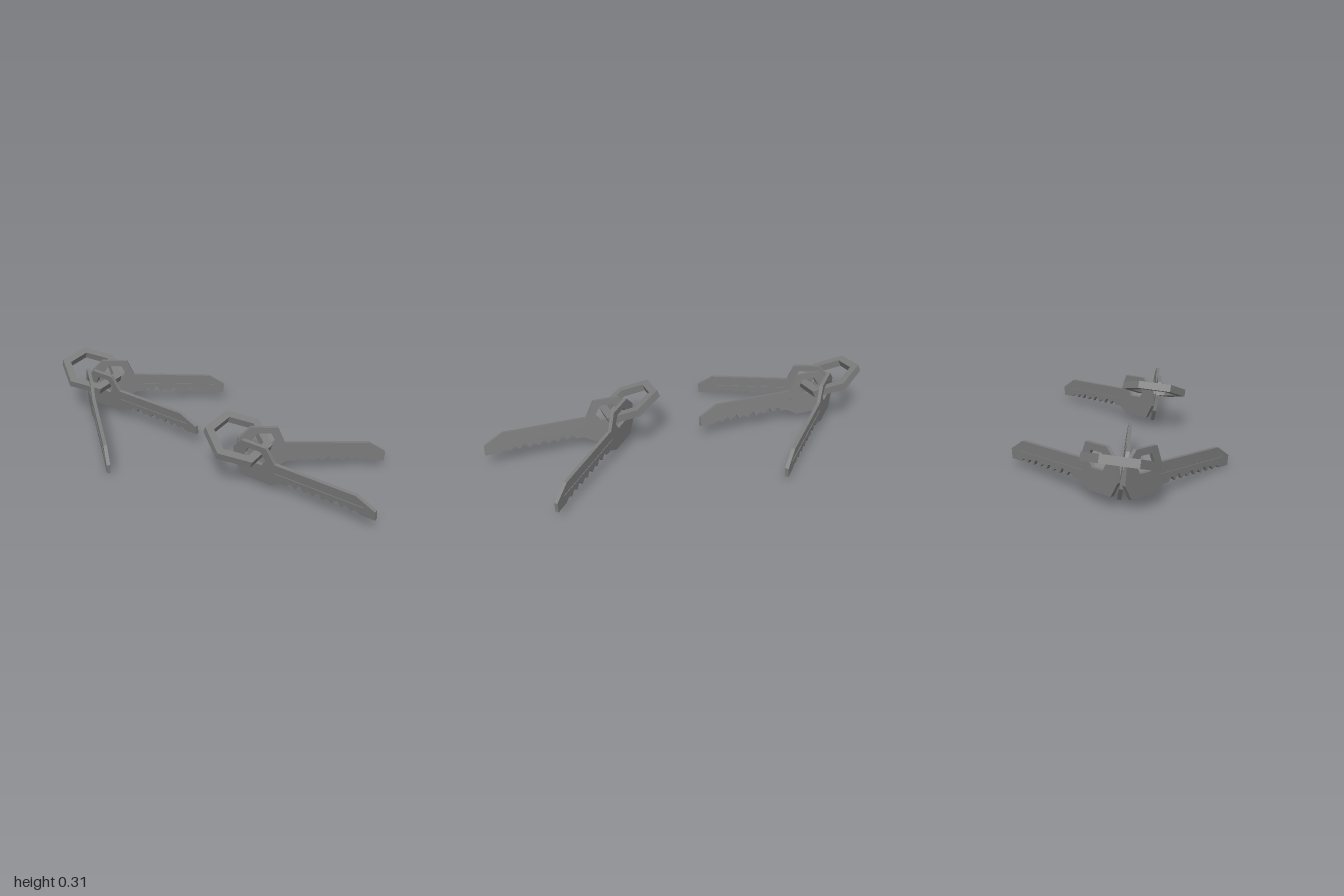
import * as THREE from 'three';

const steel = new THREE.MeshStandardMaterial({ color: 0x7c7c7c });
steel.name = 'steel grey';

const toPath = (pts, Kind) => {
  const p = new Kind();
  pts.forEach(([x, y], i) => (i ? p.lineTo(x, y) : p.moveTo(x, y)));
  p.closePath();
  return p;
};

const extrude = (shape, depth, z) => {
  const g = new THREE.ExtrudeGeometry(shape, { depth, bevelEnabled: false });
  return g.translate(0, 0, z);
};

// Key outline: bow on the left, blade towards +x, origin at the bow's left end
function keyShape(withGroove) {
  const pts = [[0, 0.05], [0, -0.04], [0.05, -0.11], [0.2, -0.11], [0.26, -0.075]];
  // irregular cuts along the blade's lower edge
  const cuts = [0.02, 0.026, 0.014, 0.024, 0.016, 0.026, 0.02, 0.014];
  cuts.forEach((d, i) => {
    const x = 0.295 + i * 0.049;
    pts.push([x, -0.075], [x + 0.018, -0.075 + d], [x + 0.03, -0.075 + d]);
  });
  pts.push([0.69, -0.075], [0.76, -0.075], [0.76, -0.025], [0.665, 0.028],
    [0.235, 0.028], [0.192, 0.11], [0.055, 0.11]);
  const shape = toPath(pts, THREE.Shape);
  // opening for the ring
  shape.holes.push(toPath([[0.065, 0.036], [0.09, 0.078], [0.16, 0.078],
    [0.185, 0.036], [0.16, -0.002], [0.09, -0.002]], THREE.Path));
  if (withGroove) {
    shape.holes.push(toPath([[0.232, -0.026], [0.232, -0.013], [0.7, -0.013], [0.7, -0.026]], THREE.Path));
  }
  return shape;
}

const coreGeometry = extrude(keyShape(false), 0.012, -0.006);
const sideGeometries = [0.006, -0.009].map((z) => extrude(keyShape(true), 0.003, z));

function makeKey(name, position, yaw, pitch, roll) {
  const key = new THREE.Group();
  key.name = name;
  const core = new THREE.Mesh(coreGeometry, steel);
  core.name = 'keyCore';
  key.add(core);
  // grooved face layers on both sides
  sideGeometries.forEach((g, i) => {
    const face = new THREE.Mesh(g, steel);
    face.name = i ? 'keyBackFace' : 'keyFrontFace';
    key.add(face);
  });
  key.position.set(...position);
  key.rotation.set(roll, yaw, pitch, 'YZX');
  return key;
}

// Six-sided split ring with a square section
function makeRing() {
  const hex = (r) => Array.from({ length: 6 }, (_, i) => {
    const a = Math.PI / 2 + (i * Math.PI) / 3;
    return [r * Math.cos(a), r * Math.sin(a)];
  });
  const shape = toPath(hex(0.168), THREE.Shape);
  shape.holes.push(toPath(hex(0.123), THREE.Path));
  const ring = new THREE.Mesh(extrude(shape, 0.038, -0.019).rotateX(Math.PI / 2), steel);
  ring.name = 'ring';
  ring.position.set(0.247, 0.222, 0.142);
  ring.rotation.set(0.12, 0, -0.38, 'XYZ');
  return ring;
}

function makeBunch(name, withFrontKey) {
  const bunch = new THREE.Group();
  bunch.name = name;
  bunch.add(makeRing());
  bunch.add(makeKey('middleKey', [0.24, 0.14, 0.153], 0.015, 0, 0.17));
  bunch.add(makeKey('backKey', [0.238, 0.17, 0.135], 0.806, -0.087, 0));
  if (withFrontKey) bunch.add(makeKey('frontKey', [0.23, 0.161, 0.16], -0.654, -0.122, 0));
  return bunch;
}

export function createModel() {
  const model = new THREE.Group();
  model.name = 'keyBunches';
  const right = makeBunch('threeKeyBunch', true);
  right.position.set(-1.102, 0.008, -0.107);
  model.add(right, makeBunch('twoKeyBunch', false));
  return model;
}
